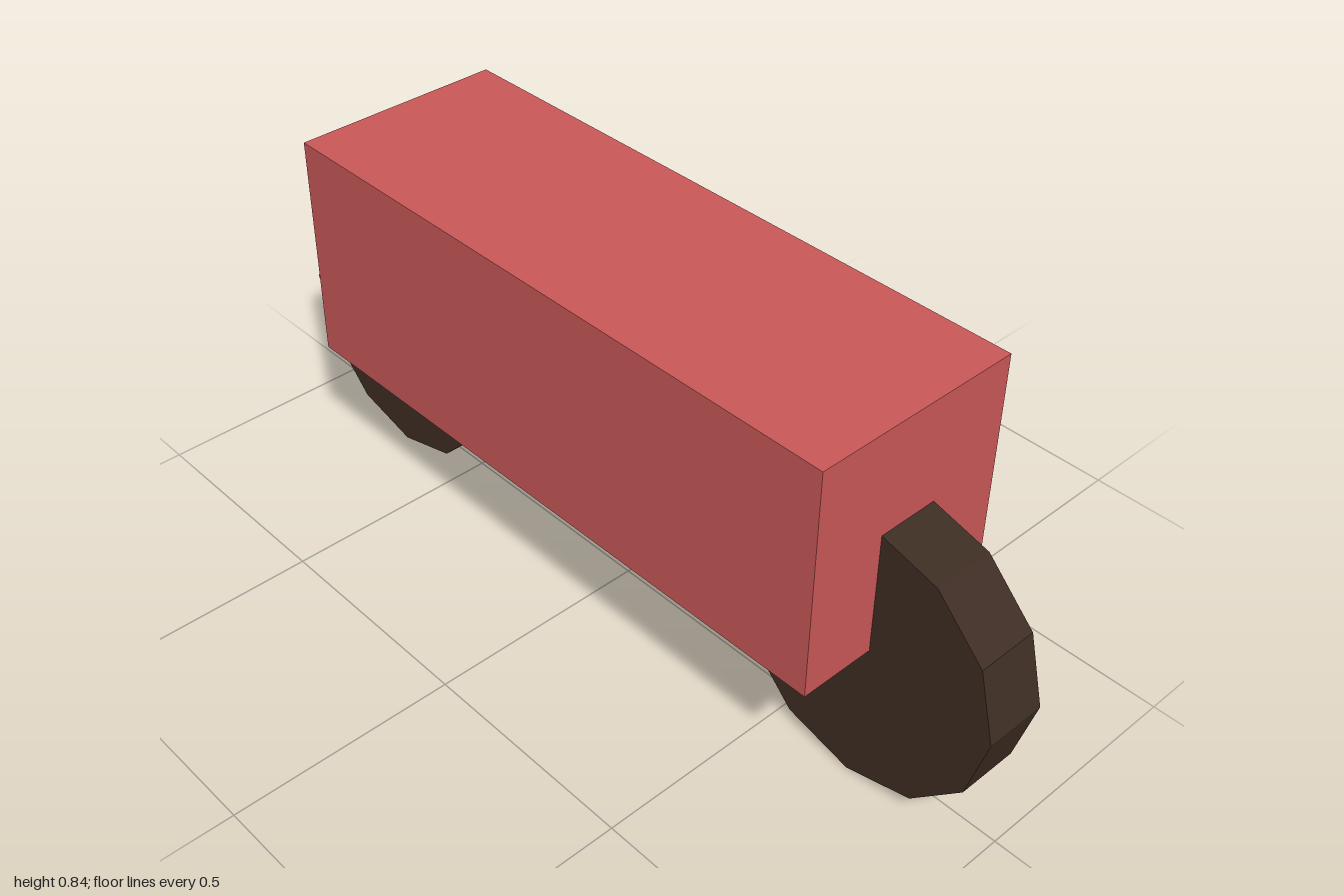
import * as THREE from 'three';

export function createModel() {
  const model = new THREE.Group();
  model.name = 'twoWheeledCart';

  const red = new THREE.MeshStandardMaterial({ color: 0xcb5858 });
  red.name = 'body red';
  const brown = new THREE.MeshStandardMaterial({ color: 0x3e2e24 });
  brown.name = 'wheel brown';
  brown.flatShading = true;

  // Box body
  const body = new THREE.Mesh(new THREE.BoxGeometry(0.477, 0.51, 1.436), red);
  body.name = 'body';
  body.position.y = 0.586;
  model.add(body);

  // Twelve-sided wheels, axles along x, partly sunk into the body
  const radius = 0.306;
  const wheelGeometry = new THREE.CylinderGeometry(radius, radius, 0.137, 12).rotateZ(Math.PI / 2);
  for (const [name, side] of [['frontWheel', 1], ['backWheel', -1]]) {
    const wheel = new THREE.Mesh(wheelGeometry, brown);
    wheel.name = name;
    wheel.position.set(0, radius, side * (1 - radius));
    model.add(wheel);
  }

  return model;
}
